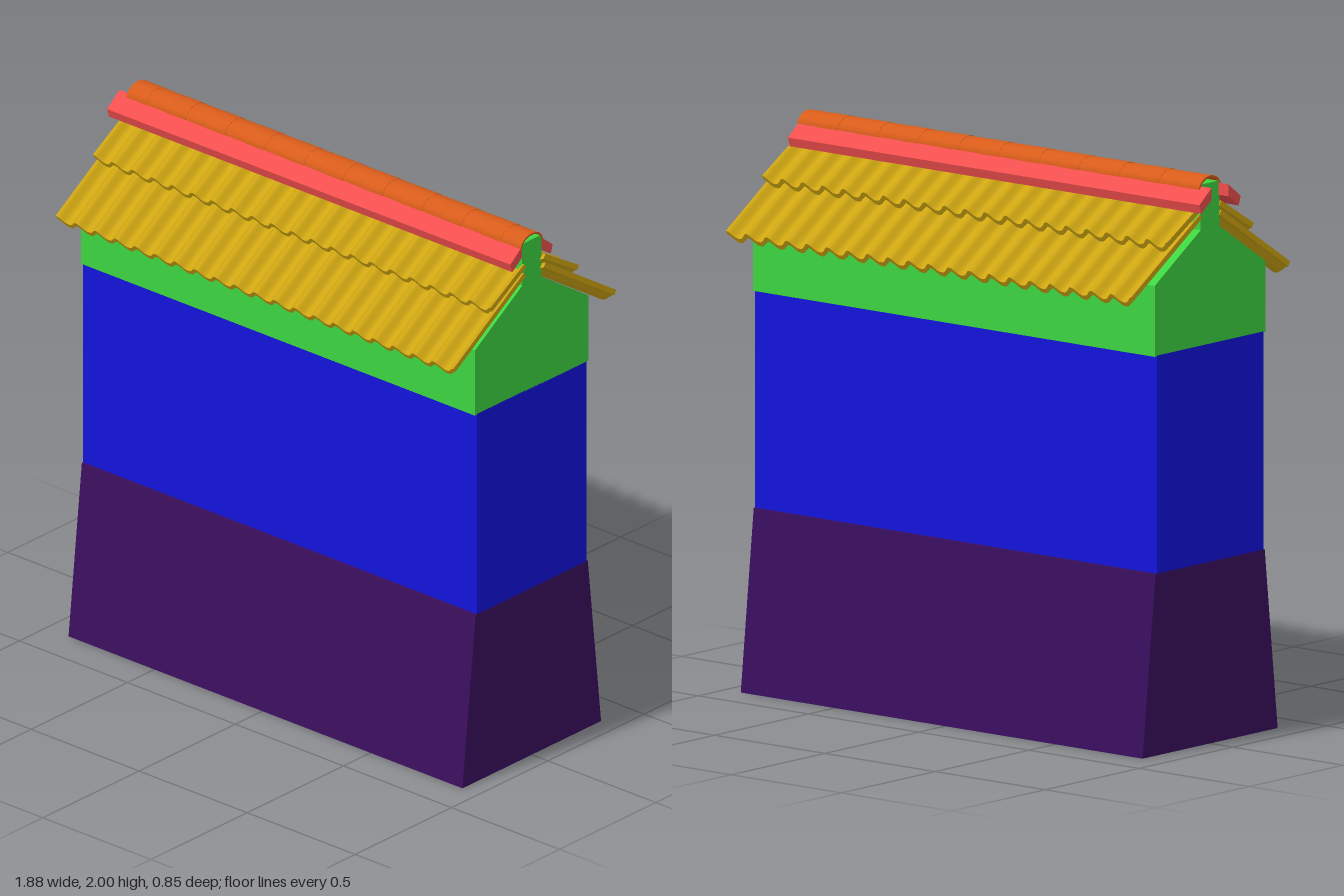
import * as THREE from 'three';
import { toCreasedNormals } from 'three/addons/utils/BufferGeometryUtils.js';

const mat = (color) => new THREE.MeshStandardMaterial({ color });
const purple = mat(0x3a0e5e), blue = mat(0x1414dc), green = mat(0x3cd440);
const yellow = mat(0xcfa612), red = mat(0xf04e4e), orange = mat(0xd85c1a);

const X0 = -0.897, X1 = 0.926; // wall ends
const TILES = 20;

const extrude = (pts, depth) => new THREE.ExtrudeGeometry(
  new THREE.Shape(pts.map(([x, y]) => new THREE.Vector2(x, y))), { depth, bevelEnabled: false });

// Prism along x from a [z, y] cross-section
function prism(name, pts, x0, x1, material, smooth = false) {
  let geo = extrude(pts.map(([z, y]) => [-z, y]), x1 - x0);
  geo.rotateY(Math.PI / 2);
  geo.translate(x0, 0, 0);
  if (smooth) geo = toCreasedNormals(geo, 0.7);
  const mesh = new THREE.Mesh(geo, material);
  mesh.name = name;
  return mesh;
}

// Mirror half a section across z = 0
const mirrored = (half) => [...half, ...half.map(([z, y]) => [-z, y]).reverse()];

// One wavy roof tile: wide trough between two narrow rolls, lying along local z
function tileGeometry(width, length) {
  const n = 16, top = [], bottom = [];
  for (let i = 0; i <= n; i++) {
    const u = i / n;
    const h = 0.03 * Math.pow((1 + Math.cos(2 * Math.PI * u)) / 2, 1.4);
    bottom.push([u * width, h]);
    top.unshift([u * width, h + 0.019]);
  }
  return toCreasedNormals(extrude([...bottom, ...top], length), 0.7);
}

// A row of tiles from eave [z, y] up to ridge [z, y]
function tileCourse(name, eave, ridge, x0, x1) {
  const course = new THREE.Group();
  course.name = name;
  const dz = eave[0] - ridge[0], dy = ridge[1] - eave[1];
  const width = (x1 - x0) / TILES;
  const geo = tileGeometry(width, Math.hypot(dz, dy));
  for (let i = 0; i < TILES; i++) {
    const tile = new THREE.Mesh(geo, yellow);
    tile.name = 'roofTile';
    tile.position.set(x0 + i * width, ridge[1], ridge[0]);
    tile.rotation.x = Math.atan2(dy, dz);
    course.add(tile);
  }
  return course;
}

// Half of the roof: two tile courses and the sloping board beside the ridge
function roofSide(name, back) {
  const side = new THREE.Group();
  side.name = name;
  const span = (a, b) => (back ? [-b, -a] : [a, b]);
  side.add(
    tileCourse('lowerTiles', [0.397, 1.593], [0.03, 1.83], ...span(-0.9, 0.94)),
    tileCourse('upperTiles', [0.205, 1.757], [0.03, 1.862], ...span(-0.9, 0.94)),
    prism('ridgeBoard', [[0.045, 1.968], [0.045, 1.925], [0.1, 1.885], [0.11, 1.917]],
      ...span(-0.942, 0.925), red));
  if (back) side.rotation.y = Math.PI;
  return side;
}

// Row of thin arched caps on the ridge
function ridgeCaps() {
  const caps = new THREE.Group();
  caps.name = 'ridgeCaps';
  const width = (X1 - X0) / TILES, n = 16;
  for (let i = 0; i < TILES; i++) {
    const grow = i % 2 ? 0 : 0.001;
    const arc = (r, h) => Array.from({ length: n + 1 }, (_, k) => {
      const a = Math.PI * k / n;
      return [r * Math.cos(a), 1.955 + h * Math.sin(a)];
    });
    const section = [...arc(0.058 + grow, 0.044 + grow), ...arc(0.051, 0.037).reverse()];
    caps.add(prism('ridgeCap', section, X0 + i * width, X0 + (i + 1) * width, orange, true));
  }
  return caps;
}

export function createModel() {
  const model = new THREE.Group();
  model.name = 'tiledWall';
  model.add(
    prism('base', mirrored([[0.36, 0], [0.291, 0.64]]), X0, X1, purple),
    prism('wall', mirrored([[0.284, 0.64], [0.284, 1.408]]), X0, X1, blue),
    prism('gableCap', mirrored([[0.295, 1.405], [0.295, 1.655], [0.05, 1.815], [0.05, 1.975]]), X0, X1, green),
    roofSide('frontRoof', false),
    roofSide('backRoof', true),
    ridgeCaps());
  return model;
}
